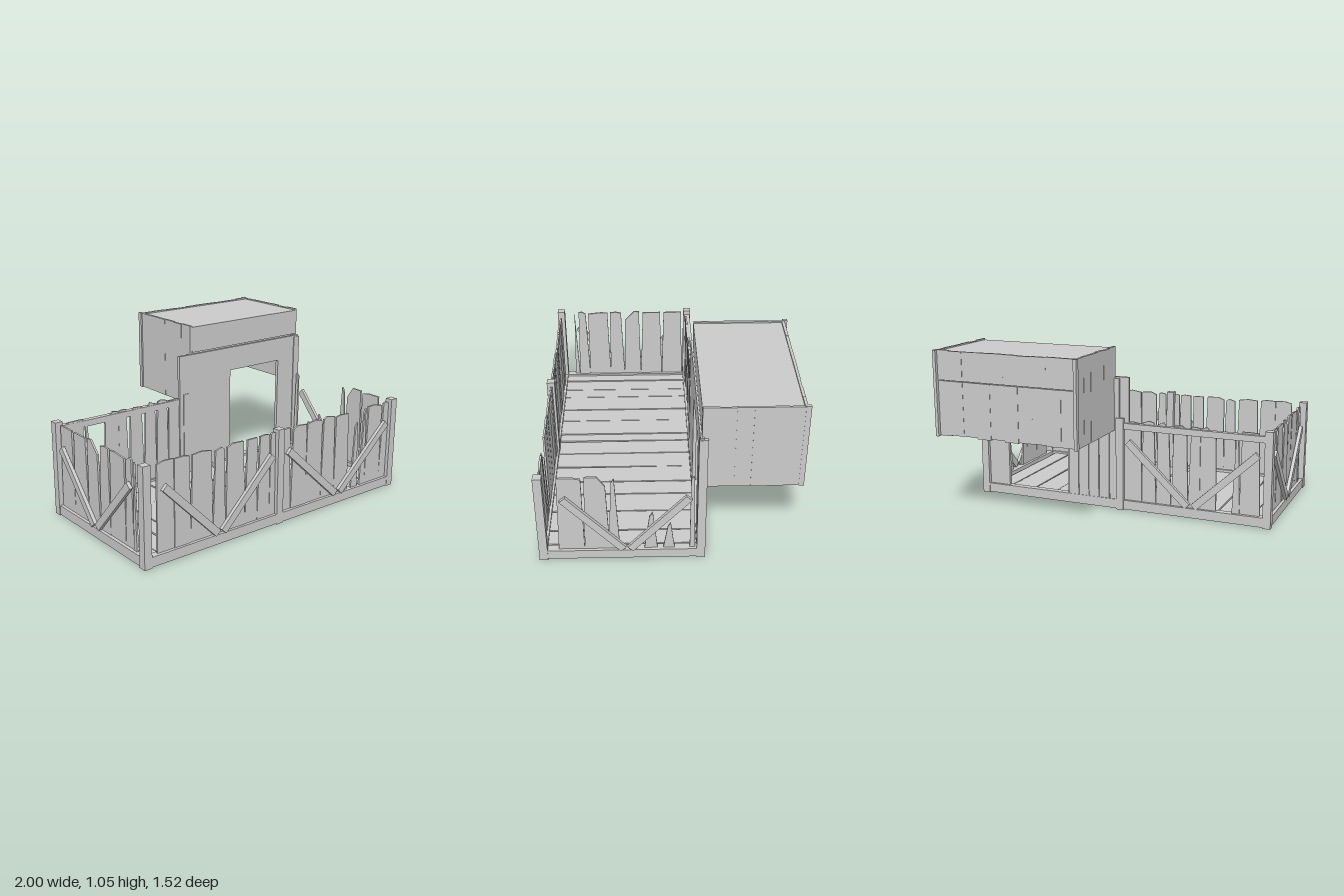
import * as THREE from 'three';

const mat = new THREE.MeshStandardMaterial({ color: 0xcccccc, flatShading: true, side: THREE.DoubleSide });

// Small seeded generator for the uneven boards
let seed = 11;
const rnd = () => ((seed = (seed * 16807) % 2147483647) / 2147483647);

function add(parent, name, geo) {
  const m = new THREE.Mesh(geo, mat);
  m.name = name;
  parent.add(m);
  return m;
}

// Box given by its minimum and maximum corners
function box(parent, name, x0, x1, y0, y1, z0, z1) {
  const m = add(parent, name, new THREE.BoxGeometry(x1 - x0, y1 - y0, z1 - z0));
  m.position.set((x0 + x1) / 2, (y0 + y1) / 2, (z0 + z1) / 2);
  return m;
}

// Flat panel from outline points, thickened towards +z
function panel(parent, name, pts, z, depth, holes = []) {
  const toV = (l) => l.map(([x, y]) => new THREE.Vector2(x, y));
  const s = new THREE.Shape(toV(pts));
  holes.forEach((h) => s.holes.push(new THREE.Path(toV(h))));
  const m = add(parent, name, new THREE.ExtrudeGeometry(s, { depth, bevelEnabled: false }));
  m.position.z = z;
  return m;
}

// Row of weathered boards with slanted sides and chipped tops; gaps lists missing stretches
function boards(parent, x0, x1, z, gaps = []) {
  let x = x0;
  while (x < x1 - 0.03) {
    const end = Math.min(x1, x + 0.07 + rnd() * 0.09);
    const mid = (x + end) / 2;
    if (!gaps.some(([a, b]) => mid > a && mid < b)) {
      const l = x + rnd() * 0.02, r = end - rnd() * 0.02;
      const top = 0.595 - rnd() * 0.015;
      const chip = rnd() < 0.3 ? 0.09 : 0.015;
      panel(parent, 'wallBoard', [
        [x, 0.05], [end, 0.05], [r, top - rnd() * chip],
        [l + (r - l) * (0.3 + 0.4 * rnd()), top], [l, top - rnd() * 0.02],
      ], z + rnd() * 0.006, 0.012);
    }
    x = end;
  }
}

// Narrow splintered board left standing in a gap
function splinter(parent, x, w, h, z) {
  panel(parent, 'splinter', [[x, 0.05], [x + w, 0.05], [x + w * 0.65, h], [x + w * 0.4, h - 0.03]], z, 0.012);
}

function brace(parent, xa, ya, xb, yb, z) {
  const m = add(parent, 'brace', new THREE.BoxGeometry(Math.hypot(xb - xa, yb - ya), 0.045, 0.022));
  m.position.set((xa + xb) / 2, (ya + yb) / 2, z);
  m.rotation.z = Math.atan2(yb - ya, xb - xa);
}

// One bay: boards plus a V of two braces on the outside (+z)
function bay(parent, x0, x1, gaps) {
  const mid = (x0 + x1) / 2;
  boards(parent, x0, x1, -0.034, gaps);
  brace(parent, x0 + 0.04, 0.45, mid - 0.02, 0.075, -0.005);
  brace(parent, x1 - 0.04, 0.45, mid + 0.02, 0.075, -0.005);
}

function wall(parent, name, x, z, turn) {
  const g = new THREE.Group();
  g.name = name;
  g.position.set(x, 0, z);
  g.rotation.y = turn;
  parent.add(g);
  return g;
}

export function createModel() {
  seed = 11;
  const model = new THREE.Group();
  model.name = 'fencedPlatform';

  // Base frame
  for (const [a, b] of [[-0.21, -0.165], [0.71, 0.755]]) box(model, 'baseBeam', -0.99, 0.99, 0.005, 0.065, a, b);
  for (const s of [-1, 1]) {
    const m = box(model, 'baseBeam', -0.025, 0.025, 0.005, 0.065, -0.2, 0.75);
    m.position.x = s * 0.97;
  }

  // Floor boards running front to back
  for (let x = -0.95; x < 0.93;) {
    const e = Math.min(0.95, x + 0.08 + rnd() * 0.1);
    const m = panel(model, 'floorBoard', [
      [x, -0.175], [e - 0.003 - rnd() * 0.006, -0.175], [e - 0.002 - rnd() * 0.01, 0.72], [x + rnd() * 0.006, 0.72],
    ], 0, 0.02);
    m.rotation.x = Math.PI / 2;
    m.position.y = 0.045 + rnd() * 0.008;
    x = e;
  }

  // Posts
  for (const [x, z, h] of [
    [-0.975, 0.732, 0.6], [0.975, 0.732, 0.6], [-0.015, 0.732, 0.6],
    [-0.975, -0.19, 0.6], [-0.015, -0.19, 0.6], [0.972, -0.19, 0.85],
  ]) box(model, 'post', x - 0.025, x + 0.025, 0, h, z - 0.025, z + 0.025);

  // Front fence
  const front = wall(model, 'frontFence', 0, 0.755, 0);
  bay(front, -0.9, -0.04, []);
  bay(front, 0.01, 0.95, [[0.6, 0.76]]);
  splinter(front, 0.62, 0.06, 0.5, -0.03);
  splinter(front, 0.7, 0.05, 0.58, -0.03);

  // Side fences
  const right = wall(model, 'sideFence', 0.995, 0.272, Math.PI / 2);
  bay(right, -0.37, 0.43, [[-0.12, 0.04], [0.12, 0.34]]);
  splinter(right, -0.08, 0.07, 0.58, -0.03);
  splinter(right, 0.13, 0.08, 0.33, -0.03);
  splinter(right, 0.24, 0.07, 0.25, -0.03);
  const left = wall(model, 'sideFence', -0.995, 0.272, -Math.PI / 2);
  bay(left, -0.43, 0.38, []);

  // Back fence with a top rail, on the half beside the doorway
  const back = wall(model, 'backFence', 0, -0.21, Math.PI);
  bay(back, 0.03, 0.95, [[0.72, 0.85]]);
  splinter(back, 0.75, 0.05, 0.57, -0.03);
  box(back, 'topRail', 0.01, 0.97, 0.53, 0.57, -0.035, 0);

  // Doorway wall
  panel(model, 'doorwayWall', [
    [-0.07, 0.05], [0.36, 0.05], [0.36, 0.7], [0.8, 0.7], [0.8, 0.05], [0.99, 0.05], [0.99, 0.86], [-0.07, 0.86],
  ], -0.192, 0.022);
  for (let x = -0.01; x < 0.34; x += 0.072) {
    box(model, 'doorwayBoard', x, x + 0.068, 0.05, 0.85, -0.204 - rnd() * 0.004, -0.19);
  }

  // Overhanging box, open underneath
  box(model, 'upperBox', 0.04, 0.965, 0.87, 1.04, -0.725, -0.178);
  for (let i = 0; i < 10; i++) {
    const x = 0.03 + i * 0.0945;
    for (const [y0, y1] of [[0.518 + rnd() * 0.008, 0.862], [0.866, 1.045 + rnd() * 0.006]]) {
      box(model, 'backCladding', x, x + 0.0945, y0, y1, -0.738 - rnd() * 0.004, -0.724);
    }
  }
  for (let i = 0; i < 6; i++) {
    const z = -0.735 + i * 0.0925;
    const y1 = 1.045 + rnd() * 0.005;
    box(model, 'sideCladding', 0.964, 0.976 + rnd() * 0.004, 0.517, y1, z, z + 0.0925);
    box(model, 'sideCladding', 0.024 - rnd() * 0.004, 0.04, 0.517, y1, z, z + 0.0925);
  }
  for (const x of [0.024, 0.968]) box(model, 'cornerTrim', x - 0.01, x + 0.01, 0.515, 1.05, -0.76, -0.73);
  return model;
}
